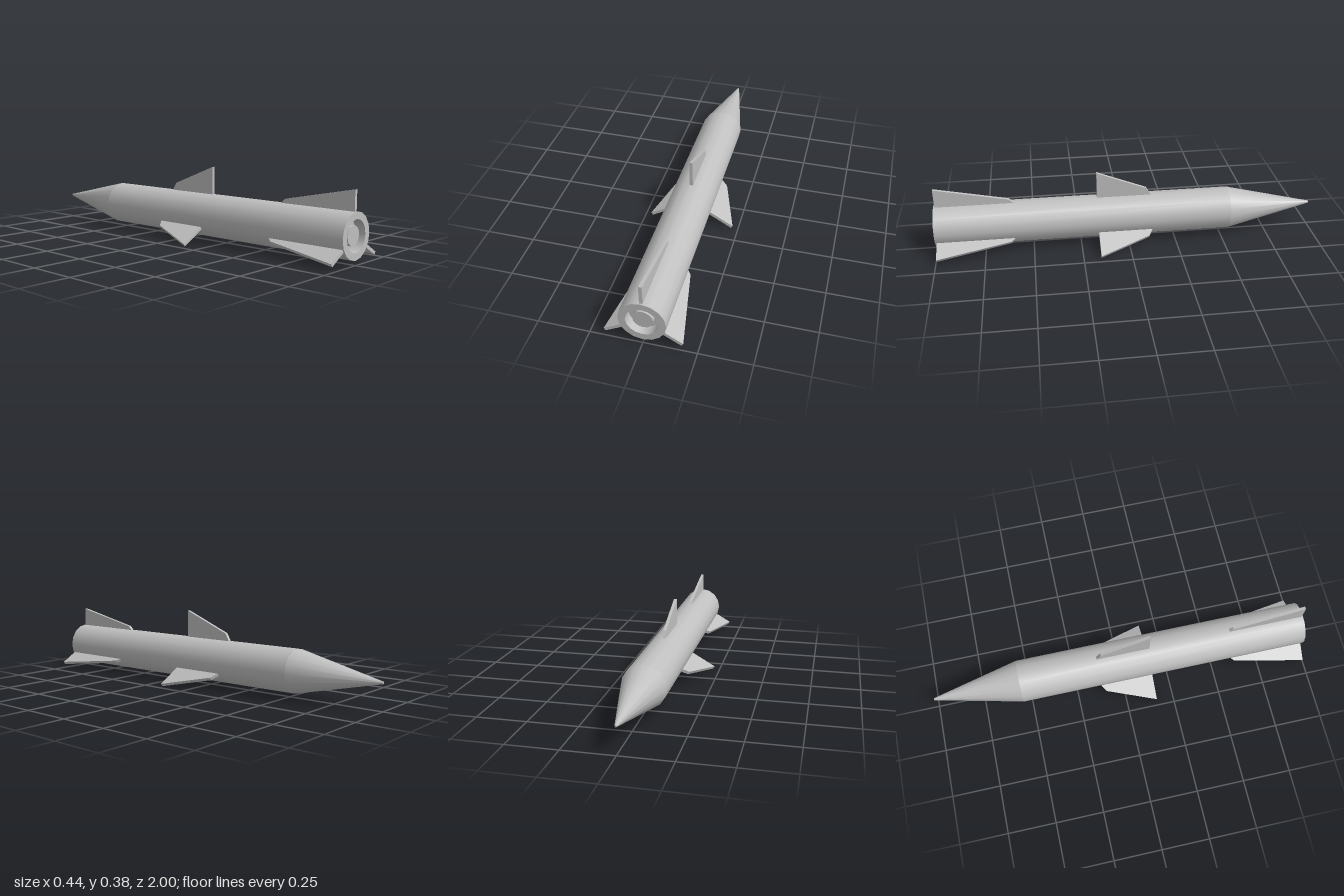
import * as THREE from 'three';
import { mergeGeometries } from 'three/addons/utils/BufferGeometryUtils.js';

const SIDES = 16, AXIS_Y = 0.132, FIN_THICKNESS = 0.016;

const grey = new THREE.MeshStandardMaterial({ color: 0xc0c0c0 });
grey.name = 'light grey';

// Revolves a profile of [radius, z], tail to nose, with a sharp edge at every point
function revolve(name, profile) {
  const bands = [];
  for (let i = 0; i < profile.length - 1; i++) {
    const pts = [profile[i], profile[i + 1]].map(([r, z]) => new THREE.Vector2(r, -z));
    bands.push(new THREE.LatheGeometry(pts, SIDES));
  }
  const mesh = new THREE.Mesh(mergeGeometries(bands).rotateX(-Math.PI / 2), grey);
  mesh.name = name;
  return mesh;
}

// Three equal fins around the axis, outlined as [z, radius]
function finSet(name, outline) {
  const set = new THREE.Group();
  set.name = name + 's';
  const shape = new THREE.Shape(outline.map(([z, r]) => new THREE.Vector2(z, r)));
  const geometry = new THREE.ExtrudeGeometry(shape, { depth: FIN_THICKNESS, bevelEnabled: false })
    .translate(0, 0, -FIN_THICKNESS / 2)
    .rotateY(-Math.PI / 2);
  for (let i = 0; i < 3; i++) {
    const fin = new THREE.Mesh(geometry, grey);
    fin.name = name;
    fin.rotation.z = (i * Math.PI * 2) / 3;
    set.add(fin);
  }
  return set;
}

export function createModel() {
  const rocket = new THREE.Group();
  rocket.name = 'rocket';
  rocket.position.y = AXIS_Y;

  // Tube with a recessed tail
  rocket.add(revolve('body', [[0.077, 0.95], [0.077, 1], [0.111, 1], [0.111, -0.54]]));
  // Recess floor and the raised exhaust plug in it
  rocket.add(revolve('exhaust', [[0, 0.985], [0.048, 0.985], [0.048, 0.95], [0.077, 0.95]]));
  // Tapered nose with a small blunt tip
  rocket.add(revolve('noseCone', [[0.111, -0.54], [0.006, -0.998], [0, -1]]));

  rocket.add(finSet('middleFin', [[0.16, 0.09], [0.16, 0.251], [-0.1, 0.148], [-0.122, 0.11], [-0.122, 0.09]]));
  rocket.add(finSet('tailFin', [[0.993, 0.09], [0.993, 0.208], [0.615, 0.13], [0.595, 0.11], [0.595, 0.09]]));

  const model = new THREE.Group();
  model.name = 'model';
  model.add(rocket);
  return model;
}
